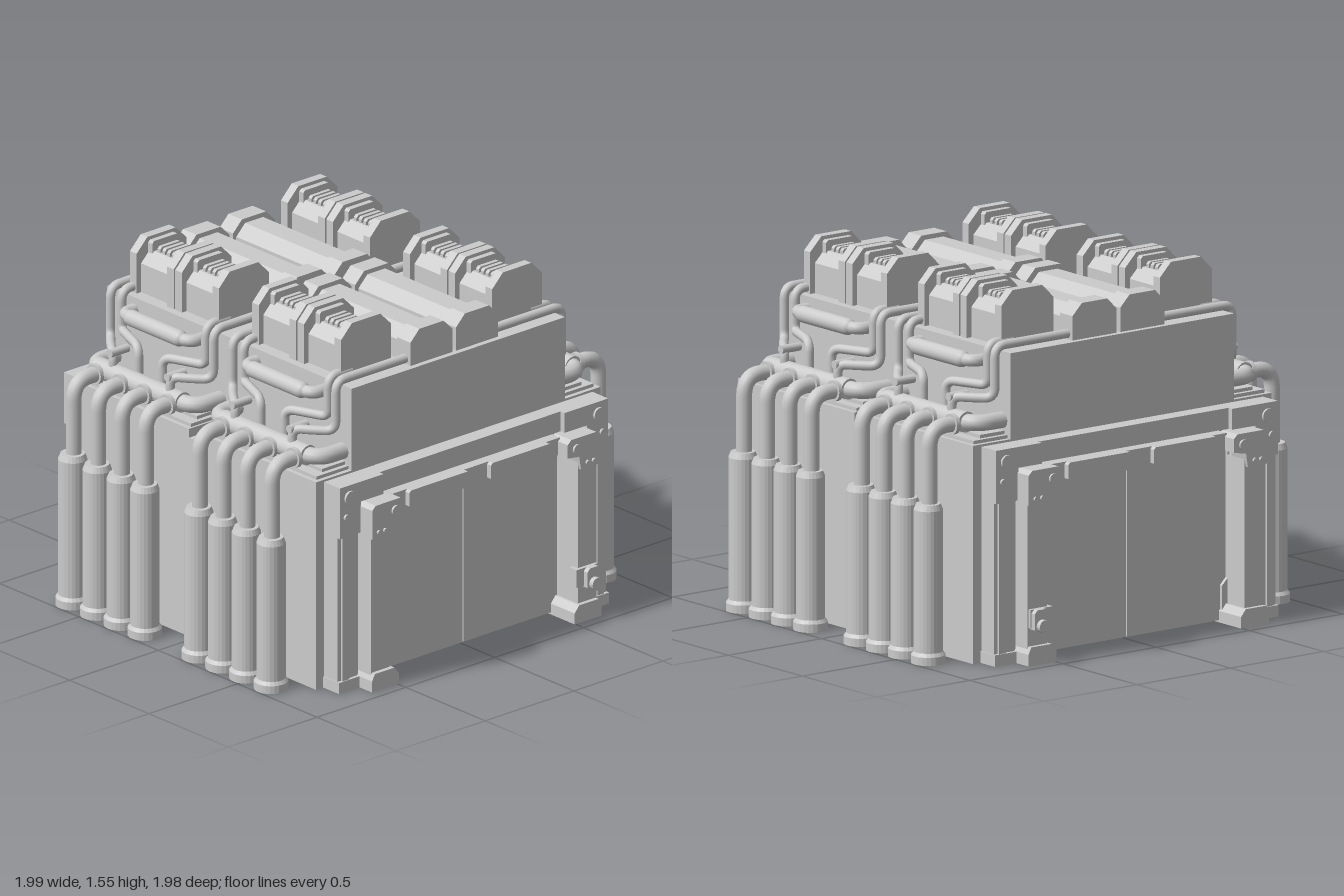
import * as THREE from 'three';

const mat = new THREE.MeshStandardMaterial({ color: 0xcccccc });
const thin = new THREE.MeshStandardMaterial({ color: 0xcccccc, side: THREE.DoubleSide });

export function createModel() {
  const root = new THREE.Group();

  const add = (name, geo, m = mat) => {
    const mesh = new THREE.Mesh(geo, m);
    mesh.name = name;
    root.add(mesh);
    return mesh;
  };
  // box given by two opposite corners, in any order
  const box = (name, x0, x1, y0, y1, z0, z1) => {
    const g = new THREE.BoxGeometry(Math.abs(x1 - x0), Math.abs(y1 - y0), Math.abs(z1 - z0));
    g.translate((x0 + x1) / 2, (y0 + y1) / 2, (z0 + z1) / 2);
    return add(name, g);
  };
  // outline in x,y extruded between two z values
  const prism = (name, pts, z0, z1) => {
    const g = new THREE.ExtrudeGeometry(new THREE.Shape(pts.map(p => new THREE.Vector2(...p))),
      { depth: Math.abs(z1 - z0), bevelEnabled: false });
    g.translate(0, 0, Math.min(z0, z1));
    return add(name, g);
  };
  // housing with its two upper edges cut off
  const housing = (name, xc, w, y0, y1, c, z0, z1) => {
    const a = xc - w / 2, b = xc + w / 2;
    return prism(name, [[a, y0], [b, y0], [b, y1 - c], [b - c, y1], [a + c, y1], [a, y1 - c]], z0, z1);
  };
  // round pipe through points with filleted corners
  const pipe = (name, pts, r, fillet, segs = 48) => {
    const v = pts.map(p => new THREE.Vector3(...p));
    const path = new THREE.CurvePath();
    let from = v[0];
    for (let i = 1; i < v.length - 1; i++) {
      const f = Math.min(fillet, v[i].distanceTo(v[i - 1]) * 0.48, v[i].distanceTo(v[i + 1]) * 0.48);
      const a = v[i].clone().add(v[i - 1].clone().sub(v[i]).setLength(f));
      const b = v[i].clone().add(v[i + 1].clone().sub(v[i]).setLength(f));
      path.add(new THREE.LineCurve3(from, a));
      path.add(new THREE.QuadraticBezierCurve3(a, v[i], b));
      from = b;
    }
    path.add(new THREE.LineCurve3(from, v[v.length - 1]));
    return add(name, new THREE.TubeGeometry(path, segs, r, 12), thin);
  };
  // cylinder along an axis
  const rod = (name, r, len, axis, x, y, z) => {
    const g = new THREE.CylinderGeometry(r, r, len, 16);
    if (axis === 'x') g.rotateZ(Math.PI / 2);
    if (axis === 'z') g.rotateX(Math.PI / 2);
    g.translate(x, y, z);
    return add(name, g);
  };

  // main masses
  box('body', -0.8, 0.8, 0, 0.9, -0.77, 0.77);
  for (const s of [1, -1]) box('bodyTop', -0.8, 0.8, 0.9, 0.94, s * 0.03, s * 0.77);
  box('upperBlock', -0.6, 0.6, 0.9, 1.31, -0.77, 0.77);

  // front and back gates, mirrored in z
  for (const s of [1, -1]) {
    box('gateHeader', -0.755, 0.755, 0.84, 0.93, s * 0.77, s * 0.845);
    box('topBar', -0.47, 0.47, 0.76, 0.835, s * 0.77, s * 0.885);
    box('topBarLip', -0.47, 0.47, 0.745, 0.765, s * 0.77, s * 0.87);
    for (const x of [-0.23, 0.23])
      housing('topBarRaisedPart', x, 0.34, 0.765, 0.835, 0.01, s * 0.88, s * 0.91);
    for (const k of [1, -1]) {
      box('door', k * 0.003, k * 0.54, 0.01, 0.76, s * 0.76, s * 0.8);
      box('outerColumn', k * 0.64, k * 0.755, 0, 0.75, s * 0.76, s * 0.855);
      box('columnRib', k * 0.7, k * 0.735, 0.05, 0.7, s * 0.85, s * 0.865);
      // corner plate with bolts
      prism('cornerPlate', [[0.51, 0.93], [0.51, 0.84], [0.635, 0.84], [0.635, 0.7], [0.755, 0.7], [0.755, 0.93]]
        .map(([x, y]) => [k * x, y]), s * 0.765, s * 0.87);
      rod('cornerBolt', 0.03, 0.02, 'z', k * 0.7, 0.875, s * 0.87);
      rod('smallBolt', 0.014, 0.02, 'z', k * 0.72, 0.79, s * 0.87);
      // pillar with bracket and foot
      box('pillar', k * 0.53, k * 0.635, 0.04, 0.72, s * 0.77, s * 0.93);
      prism('pillarBracket', [[0.46, 0.82], [0.46, 0.76], [0.525, 0.75], [0.535, 0.69], [0.64, 0.69], [0.64, 0.82], [0.62, 0.838], [0.48, 0.838]]
        .map(([x, y]) => [k * x, y]), s * 0.84, s * 0.945);
      rod('bracketBolt', 0.022, 0.015, 'z', k * 0.51, 0.79, s * 0.947);
      for (const x of [0.57, 0.605]) rod('bracketBolt', 0.01, 0.015, 'z', k * x, 0.715, s * 0.947);
      prism('pillarFoot', [[0.495, 0], [0.645, 0], [0.645, 0.05], [0.63, 0.08], [0.52, 0.08], [0.495, 0.05]]
        .map(([x, y]) => [k * x, y]), s * 0.77, s * 0.95);
      box('columnFoot', k * 0.64, k * 0.76, 0, 0.05, s * 0.77, s * 0.87);
    }
    // latch on one pillar, stepped trim beside the other
    box('latchPlate', 0.51, 0.63, 0.16, 0.24, s * 0.9, s * 0.945);
    housing('latch', 0.588, 0.075, 0.155, 0.24, 0.015, s * 0.94, s * 0.968);
    rod('latchKnob', 0.028, 0.03, 'z', 0.588, 0.17, s * 0.975);
    prism('doorTrim', [[-0.54, 0], [-0.5, 0], [-0.5, 0.16], [-0.53, 0.19], [-0.53, 0.75], [-0.54, 0.75]], s * 0.79, s * 0.815);
  }

  // one exhaust stack turned from a profile
  const stack = [[0, 0], [0.073, 0], [0.073, 0.035], [0.062, 0.05], [0.062, 0.66], [0.052, 0.685], [0, 0.685]]
    .map(p => new THREE.Vector2(...p));
  const stackGeo = new THREE.LatheGeometry(stack, 24).toNonIndexed();
  stackGeo.computeVertexNormals();

  for (const k of [1, -1]) for (const s of [1, -1]) {
    // exhaust stacks
    for (const z of [0.17, 0.32, 0.47, 0.625]) {
      add('exhaustStack', stackGeo).position.set(k * 0.924, 0, s * z);
      pipe('exhaustPipe', [[k * 0.918, 0.67, s * z], [k * 0.918, 1.008, s * z], [k * 0.74, 1.008, s * z]], 0.034, 0.11, 36);
      rod('pipeCollar', 0.045, 0.02, 'x', k * 0.795, 1.008, s * z);
    }
    // side tray and manifold loop
    box('sideTray', k * 0.6, k * 0.78, 0.92, 0.955, s * 0.04, s * 0.75);
    box('trayStep', k * 0.6, k * 0.73, 0.95, 0.97, s * 0.06, s * 0.73);
    pipe('manifold', [[k * 0.57, 1.015, s * 0.715], [k * 0.745, 1.015, s * 0.715], [k * 0.745, 1.015, s * 0.055], [k * 0.57, 1.015, s * 0.055]], 0.036, 0.11, 64);
    rod('manifoldSleeve', 0.045, 0.53, 'z', k * 0.745, 1.015, s * 0.395);
    // side capsule
    pipe('capsulePipe', [[k * 0.57, 1.255, s * 0.6], [k * 0.67, 1.255, s * 0.6], [k * 0.67, 1.255, s * 0.17], [k * 0.57, 1.255, s * 0.17]], 0.027, 0.06, 48);
    const cap = add('capsule', new THREE.CapsuleGeometry(0.036, 0.3, 5, 16));
    cap.rotation.x = Math.PI / 2;
    cap.position.set(k * 0.672, 1.255, s * 0.385);

    // coolant pipes, mirrored around the middle of each half
    for (const d of [1, -1]) {
      const z = o => s * (0.385 + d * o);
      pipe('outerCoolantPipe', [[k * 0.2, 1.335, z(0.325)], [k * 0.635, 1.335, z(0.325)], [k * 0.635, 1.11, z(0.325)],
        [k * 0.7, 1.11, z(0.25)], [k * 0.75, 1.11, z(0.18)], [k * 0.75, 1.0, z(0.18)]], 0.02, 0.05, 64);
      pipe('innerCoolantPipe', [[k * 0.5, 1.335, z(0.265)], [k * 0.625, 1.335, z(0.265)], [k * 0.625, 1.155, z(0.265)],
        [k * 0.65, 1.155, z(0.2)], [k * 0.7, 1.155, z(0.075)], [k * 0.7, 0.98, z(0.075)]], 0.02, 0.05, 64);
      rod('coolantStub', 0.018, 0.1, 'x', k * 0.72, 1.11, z(0.18));

      // tall roof unit: two end plates around a ribbed core
      const zc = 0.385 + d * 0.1425, unit = (a, b) => [s * (zc + a), s * (zc + b)];
      for (const e of [1, -1]) {
        housing('tallUnitEnd', k * 0.425, 0.28, 1.3, 1.55, 0.06, ...unit(e * 0.096, e * 0.138));
        housing('tallUnitRim', k * 0.425, 0.15, 1.3, 1.535, 0.01, ...unit(e * 0.07, e * 0.1));
      }
      housing('tallUnitCore', k * 0.425, 0.23, 1.3, 1.49, 0.05, ...unit(-0.1, 0.1));
      for (const r of [-0.045, -0.015, 0.015, 0.045])
        housing('tallUnitRib', k * 0.425, 0.12, 1.45, 1.515, 0.01, ...unit(r - 0.009, r + 0.009));
      // end of the central roof unit
      housing('centralUnitEnd', k * 0.128, 0.236, 1.3, 1.465, 0.05, z(0.275), z(0.36));
    }
    box('tallUnitLink', k * 0.32, k * 0.53, 1.3, 1.37, s * 0.36, s * 0.41);
    housing('centralUnit', k * 0.128, 0.2, 1.3, 1.445, 0.05, s * 0.1, s * 0.67);
  }

  root.name = 'industrialGenerator';
  return root;
}
